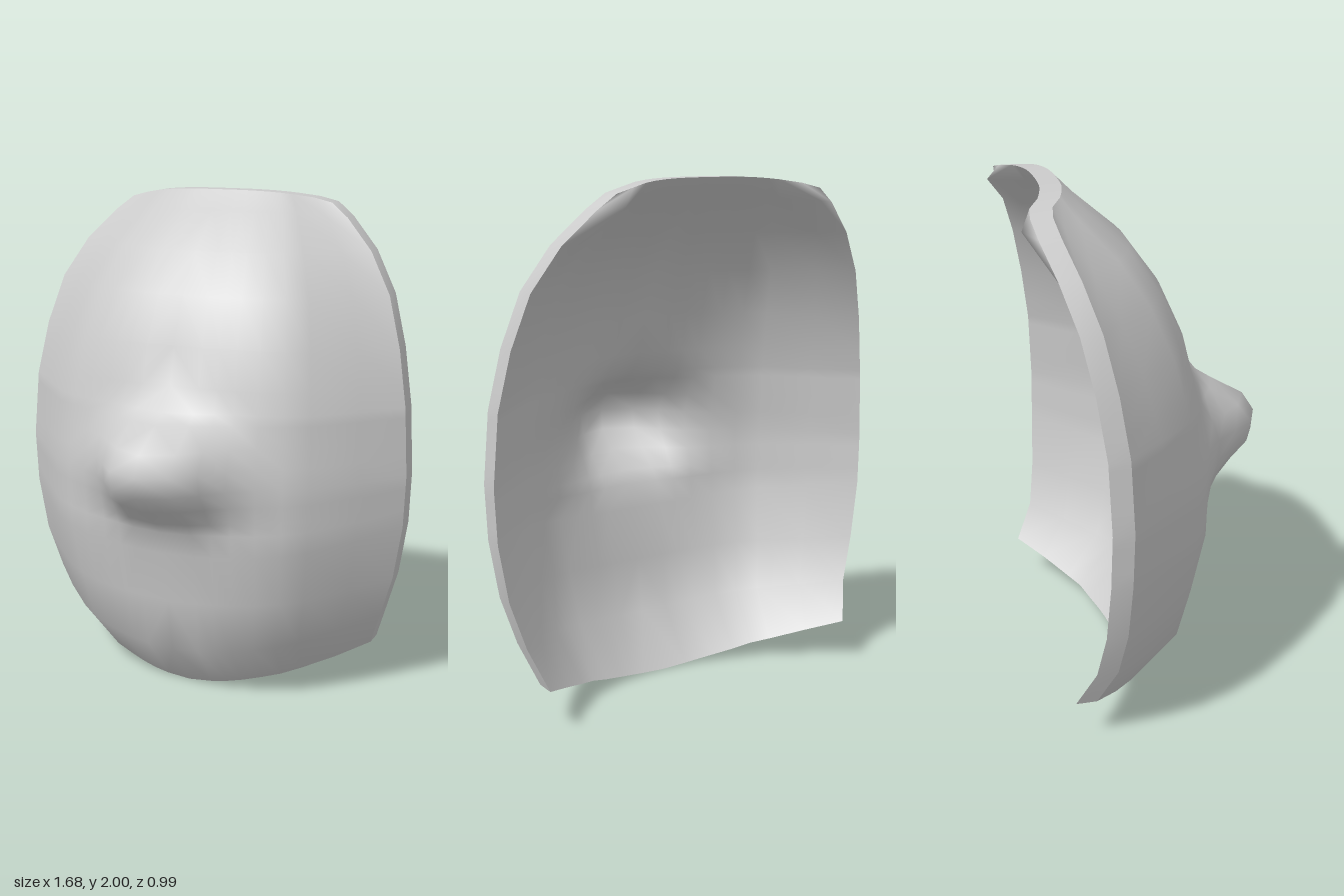
import * as THREE from 'three';
import { toCreasedNormals } from 'three/addons/utils/BufferGeometryUtils.js';

const { lerp } = THREE.MathUtils;
const THICK = 0.08;

// Spine down the middle [y, z] and the matching left edge [x, y, z], bottom to top
const SPINE = [
  [0, 0], [0.2, 0.165], [0.42, 0.2], [0.63, 0.232], [0.92, 0.238], [1.2, 0.195],
  [1.44, 0.14], [1.62, 0.06], [1.78, -0.055], [1.92, -0.22], [2, -0.3],
];
const EDGE = [
  [0.685, 0.17, -0.31], [0.74, 0.32, -0.24], [0.795, 0.5, -0.215], [0.83, 0.72, -0.205], [0.838, 0.93, -0.2],
  [0.82, 1.2, -0.21], [0.78, 1.42, -0.24], [0.72, 1.62, -0.28], [0.625, 1.78, -0.33], [0.51, 1.9, -0.375],
  [0.44, 1.955, -0.39],
];
// Rows as positions along those lists, closer together around the boss
const ROWS = [0, 1, 2, 3, 3.33, 3.5, 3.75, 4, 4.29, 4.57, 4.86, 5, 5.375, 6, 7, 8, 9, 10];

// Columns: share of the half width, then the fall from spine to edge at the middle, top and bottom
const HALF = [
  [0, 0, 0, 0], [0.15, 0.01, 0.015, 0.02], [0.24, 0.025, 0.035, 0.05], [0.33, 0.048, 0.065, 0.1],
  [0.44, 0.085, 0.15, 0.18], [0.55, 0.172, 0.27, 0.26], [0.655, 0.287, 0.42, 0.41],
  [0.83, 0.644, 0.87, 0.68], [1, 1, 1, 1],
];
const COLUMNS = [...HALF.slice(1).reverse().map((c) => [-1, c]), ...HALF.map((c) => [1, c])];
const NC = COLUMNS.length - 1, NR = ROWS.length - 1;

function along(list, k) {
  const i = Math.min(Math.floor(k), list.length - 2);
  return list[i].map((v, n) => lerp(v, list[i + 1][n], k - i));
}

// Bell-shaped boss, longer below than above
function bossHeight(x, y) {
  const dy = y - 1;
  const r = Math.hypot(x / 0.32, dy / (dy > 0 ? 0.22 : 0.28));
  return 0.27 * Math.exp(-Math.pow(r / 0.75, 2.6));
}

// Point of the shell at column i and row j
function gridPoint(i, j, back) {
  const [side, [f, mid, top, bottom]] = COLUMNS[i];
  const k = ROWS[j];
  const [cy, cz] = along(SPINE, k), [ex, ey, ez] = along(EDGE, k);
  const x = side * f * ex;
  const y = lerp(cy, ey, Math.pow(f, lerp(1.7, 3, k / 10)));
  let fall = lerp(mid, top, Math.max(0, k - 5) / 5);
  fall = lerp(fall, bottom, Math.max(0, 3 - k) / 3);
  let z = lerp(cz, ez, fall) + bossHeight(x, y);
  if (back) {
    z -= THICK;
    if (k === 9 && f === 0.83) z -= 0.07; // small points behind the upper corners
  }
  return [x, y, z];
}

function shellFace(back) {
  const pos = [], index = [];
  for (let j = 0; j <= NR; j++)
    for (let i = 0; i <= NC; i++) pos.push(...gridPoint(i, j, back));
  const tri = (a, b, c) => (back ? index.push(a, c, b) : index.push(a, b, c));
  for (let j = 0; j < NR; j++)
    for (let i = 0; i < NC; i++) {
      const a = j * (NC + 1) + i, b = a + 1, d = a + NC + 1, c = d + 1;
      // diagonals mirror about the middle
      if (i < NC / 2) { tri(a, b, c); tri(a, c, d); }
      else { tri(a, b, d); tri(b, c, d); }
    }
  const g = new THREE.BufferGeometry();
  g.setAttribute('position', new THREE.Float32BufferAttribute(pos, 3));
  g.setIndex(index);
  g.computeVertexNormals();
  return g;
}

// Band joining front and back around the whole outline
function rimBand() {
  const loop = [], pos = [];
  for (let i = 0; i < NC; i++) loop.push([i, 0]);
  for (let j = 0; j < NR; j++) loop.push([NC, j]);
  for (let i = NC; i > 0; i--) loop.push([i, NR]);
  for (let j = NR; j > 0; j--) loop.push([0, j]);
  loop.forEach((p, n) => {
    const q = loop[(n + 1) % loop.length];
    const pf = gridPoint(...p, false), pb = gridPoint(...p, true);
    const qf = gridPoint(...q, false), qb = gridPoint(...q, true);
    pos.push(...pf, ...pb, ...qb, ...pf, ...qb, ...qf);
  });
  const g = new THREE.BufferGeometry();
  g.setAttribute('position', new THREE.Float32BufferAttribute(pos, 3));
  return toCreasedNormals(g, 0.5);
}

export function createModel() {
  const group = new THREE.Group();
  group.name = 'shield';
  const material = new THREE.MeshStandardMaterial({ color: 0xcccccc });
  const add = (name, geometry) => {
    const mesh = new THREE.Mesh(geometry, material);
    mesh.name = name;
    group.add(mesh);
  };
  add('frontFace', shellFace(false));
  add('backFace', shellFace(true));
  add('rim', rimBand());
  return group;
}
